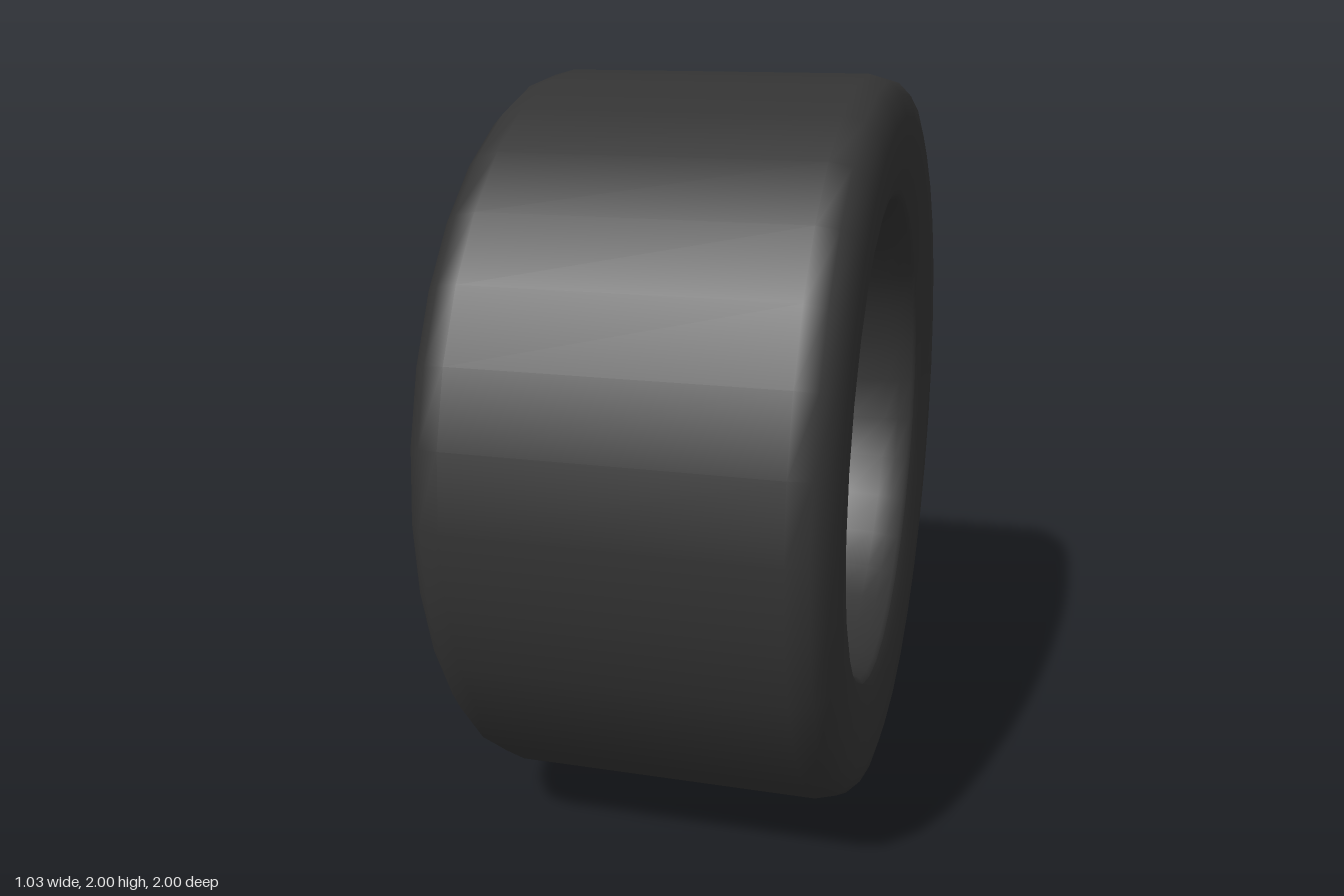
import * as THREE from 'three';

const SIDES = 32;
const SPOKES = 5;

// Lathe around the local y axis; profile points are [radius, axial position]
function lathe(name, profile, sides, material) {
  const points = profile.map(([r, a]) => new THREE.Vector2(r, a));
  const mesh = new THREE.Mesh(new THREE.LatheGeometry(points, sides), material);
  mesh.name = name;
  return mesh;
}

// Tapered spoke along local +x, deeper at the rim than at the hub
function spokeGeometry() {
  const geometry = new THREE.BoxGeometry(1, 1, 1);
  const p = geometry.attributes.position;
  for (let i = 0; i < p.count; i++) {
    const atTip = p.getX(i) > 0;
    const outer = p.getY(i) > 0;
    const halfWidth = atTip ? 0.115 : 0.097;
    const y = outer ? (atTip ? 0.23 : 0.26) : (atTip ? -0.33 : -0.18);
    p.setXYZ(i, atTip ? 0.65 : 0.28, y, Math.sign(p.getZ(i)) * halfWidth);
  }
  geometry.computeVertexNormals();
  return geometry;
}

export function createModel() {
  const model = new THREE.Group();
  model.name = 'wheel';
  const smooth = new THREE.MeshStandardMaterial({ color: 0x333333, side: THREE.DoubleSide });
  const flat = new THREE.MeshStandardMaterial({ color: 0x333333, flatShading: true });

  // Tyre: rounded shoulders and gently curved side walls
  const half = [[1, 0.41], [0.985, 0.465], [0.95, 0.5], [0.89, 0.515], [0.79, 0.513], [0.72, 0.5], [0.685, 0.485]];
  const mirrored = half.map(([r, a]) => [r, -a]).reverse();
  model.add(lathe('tyre', [...mirrored, ...half], SIDES, smooth));

  // Rim: lip on both sides and the inner barrel
  const lip = [[0.685, 0.485], [0.67, 0.475], [0.66, 0.44], [0.645, 0.4], [0.637, 0.3]];
  const lipBack = lip.map(([r, a]) => [r, -a]).reverse();
  model.add(lathe('rim', [...lip, ...lipBack], SIDES, smooth));

  // Hub: ten-sided, flat outside, bevelled inside
  const hub = [[0, -0.28], [0.2, -0.28], [0.315, -0.18], [0.315, 0.26], [0, 0.26]];
  model.add(lathe('hub', hub, SPOKES * 2, flat));

  // Spokes
  const geometry = spokeGeometry();
  for (let i = 0; i < SPOKES; i++) {
    const spoke = new THREE.Mesh(geometry, flat);
    spoke.name = 'spoke' + (i + 1);
    spoke.rotation.y = (i * 2 * Math.PI) / SPOKES;
    model.add(spoke);
  }

  // Lay the axle along x and stand the wheel on the ground
  model.rotation.z = -Math.PI / 2;
  model.position.y = 1;
  const root = new THREE.Group();
  root.name = 'wheelAssembly';
  root.add(model);
  return root;
}
